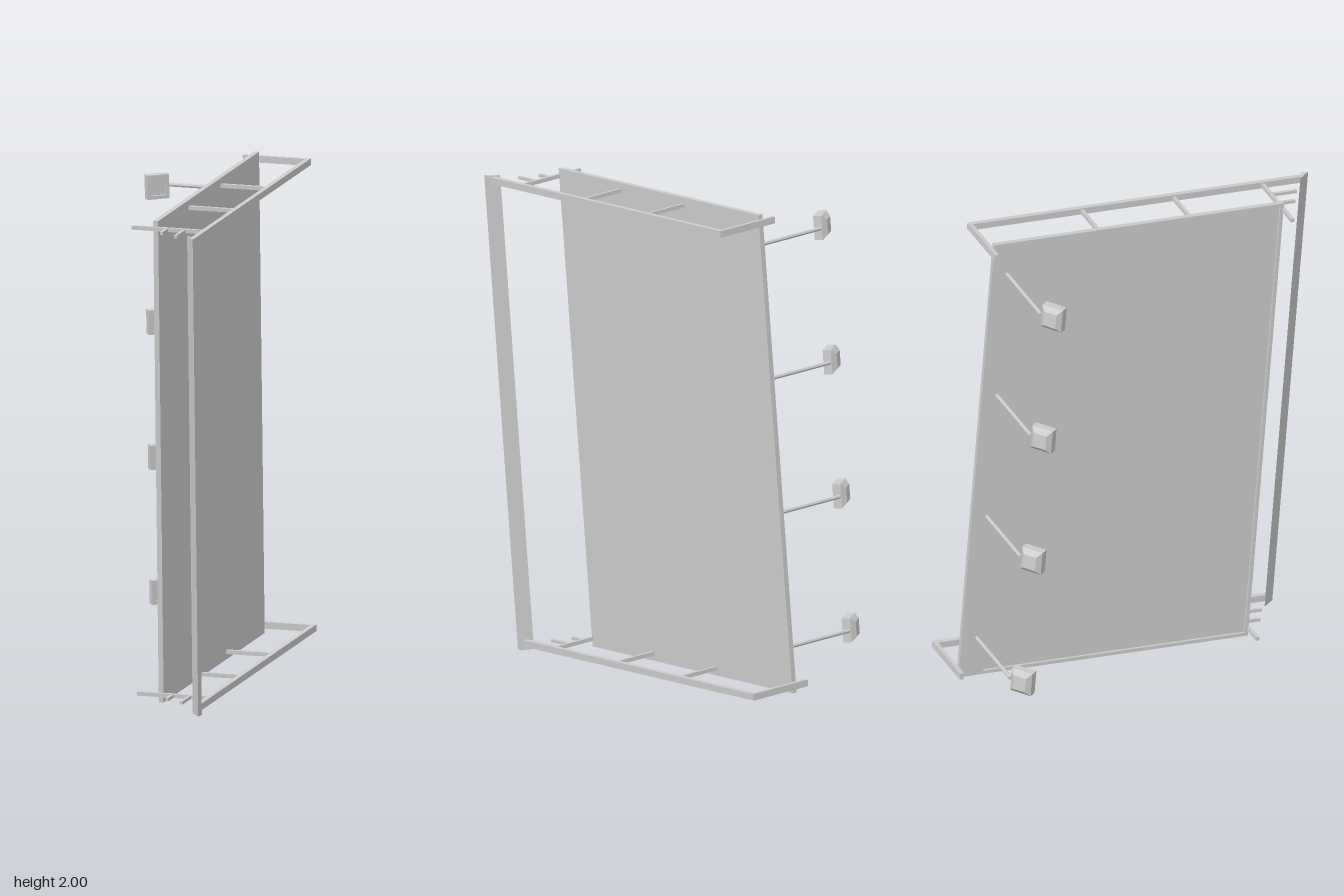
import * as THREE from 'three';

const metal = new THREE.MeshStandardMaterial({ color: 0xcccccc });
metal.name = 'greyMetal';
metal.side = THREE.DoubleSide;
metal.flatShading = true;

// Box given by its min and max on each axis
function bar(parent, name, [x0, x1], [y0, y1], [z0, z1]) {
  const mesh = new THREE.Mesh(new THREE.BoxGeometry(x1 - x0, y1 - y0, z1 - z0), metal);
  mesh.position.set((x0 + x1) / 2, (y0 + y1) / 2, (z0 + z1) / 2);
  mesh.name = name;
  parent.add(mesh);
  return mesh;
}
const around = (c, size) => [c - size / 2, c + size / 2];

// Floodlight whose lens faces local +z
function makeLamp() {
  const lamp = new THREE.Group();
  lamp.name = 'lamp';
  const w = 0.088, h = 0.095;
  bar(lamp, 'lampBody', around(0, w), around(0, h), [-0.008, 0.014]);
  for (const s of [-1, 1]) {
    bar(lamp, 'lampBezelSide', around(s * (w / 2 - 0.007), 0.014), around(0, h), [0.014, 0.024]);
    bar(lamp, 'lampBezelEdge', around(0, w - 0.028), around(s * (h / 2 - 0.007), 0.014), [0.014, 0.024]);
  }
  // tapered housing behind the lens
  const back = new THREE.CylinderGeometry(0.62 / Math.SQRT2, 1 / Math.SQRT2, 0.018, 4, 1);
  back.rotateY(Math.PI / 4).rotateX(-Math.PI / 2).scale(w, h, 1);
  const housing = new THREE.Mesh(back, metal);
  housing.position.z = -0.017;
  housing.name = 'lampHousing';
  lamp.add(housing);
  return lamp;
}

export function createModel() {
  const model = new THREE.Group();
  model.name = 'billboard';

  // Everything is built upright, then leaned as one piece
  const sign = new THREE.Group();
  sign.name = 'leaningSign';
  sign.position.set(0.095, 1.01, -0.0925);
  sign.rotation.set(THREE.MathUtils.degToRad(5), 0, THREE.MathUtils.degToRad(-1));
  model.add(sign);

  // Display panel with a shallow rim on its lamp side
  const H = 0.943, W = 0.603;
  bar(sign, 'panel', [0.006, 0.016], [-H, H], [-W, W]);
  bar(sign, 'panelFlange', [-0.004, 0.006], [-H, H], [-W, -W + 0.1]);
  bar(sign, 'panelRimFront', [-0.004, 0.006], [-H, H], [W - 0.014, W]);
  for (const s of [-1, 1]) {
    bar(sign, 'panelRimEdge', [-0.004, 0.006], around(s * (H - 0.007), 0.014), [-W + 0.1, W - 0.014]);
  }

  // Walkway frames at both ends of the panel
  for (const s of [-1, 1]) {
    const frame = new THREE.Group();
    frame.name = s > 0 ? 'upperFrame' : 'lowerFrame';
    frame.position.y = s * 0.913;
    sign.add(frame);
    bar(frame, 'longRail', [0.2, 0.219], around(0, 0.026), [-0.619, 0.77]);
    bar(frame, 'backBar', [-0.05, 0.219], around(0, 0.026), around(-0.611, 0.016));
    bar(frame, 'frontBar', [-0.088, 0.2], around(0, 0.015), around(0.605, 0.014));
    for (const z of [-0.148, 0.234]) {
      bar(frame, 'crossBar', [0.01, 0.2], around(0, 0.015), around(z, 0.013));
    }
    for (const [x, end] of [[0.053, 0.675], [0.123, 0.712]]) {
      bar(frame, 'stub', around(x, 0.012), around(0, 0.012), [0.605, end]);
    }
  }

  // Three-sided post joining the front ends of the rails
  const section = new THREE.Shape([[0.183, -0.753], [0.227, -0.774], [0.222, -0.802]]
    .map(([x, y]) => new THREE.Vector2(x, y)));
  const postGeometry = new THREE.ExtrudeGeometry(section, { depth: 1.87, bevelEnabled: false });
  postGeometry.rotateX(-Math.PI / 2);
  const post = new THREE.Mesh(postGeometry, metal);
  post.position.y = -0.94;
  post.name = 'post';
  sign.add(post);

  // Lamps on long arms, turned to shine on the panel
  for (let i = 0; i < 4; i++) {
    const y = -0.78 + i * 0.529;
    const arm = new THREE.Mesh(new THREE.CylinderGeometry(0.008, 0.008, 0.335, 8), metal);
    arm.rotation.z = Math.PI / 2;
    arm.position.set(-0.1625, y, -0.54);
    arm.name = 'lampArm';
    sign.add(arm);
    const lamp = makeLamp();
    lamp.position.set(-0.367, y, -0.507);
    lamp.rotation.y = 0.67;
    sign.add(lamp);
  }
  return model;
}
